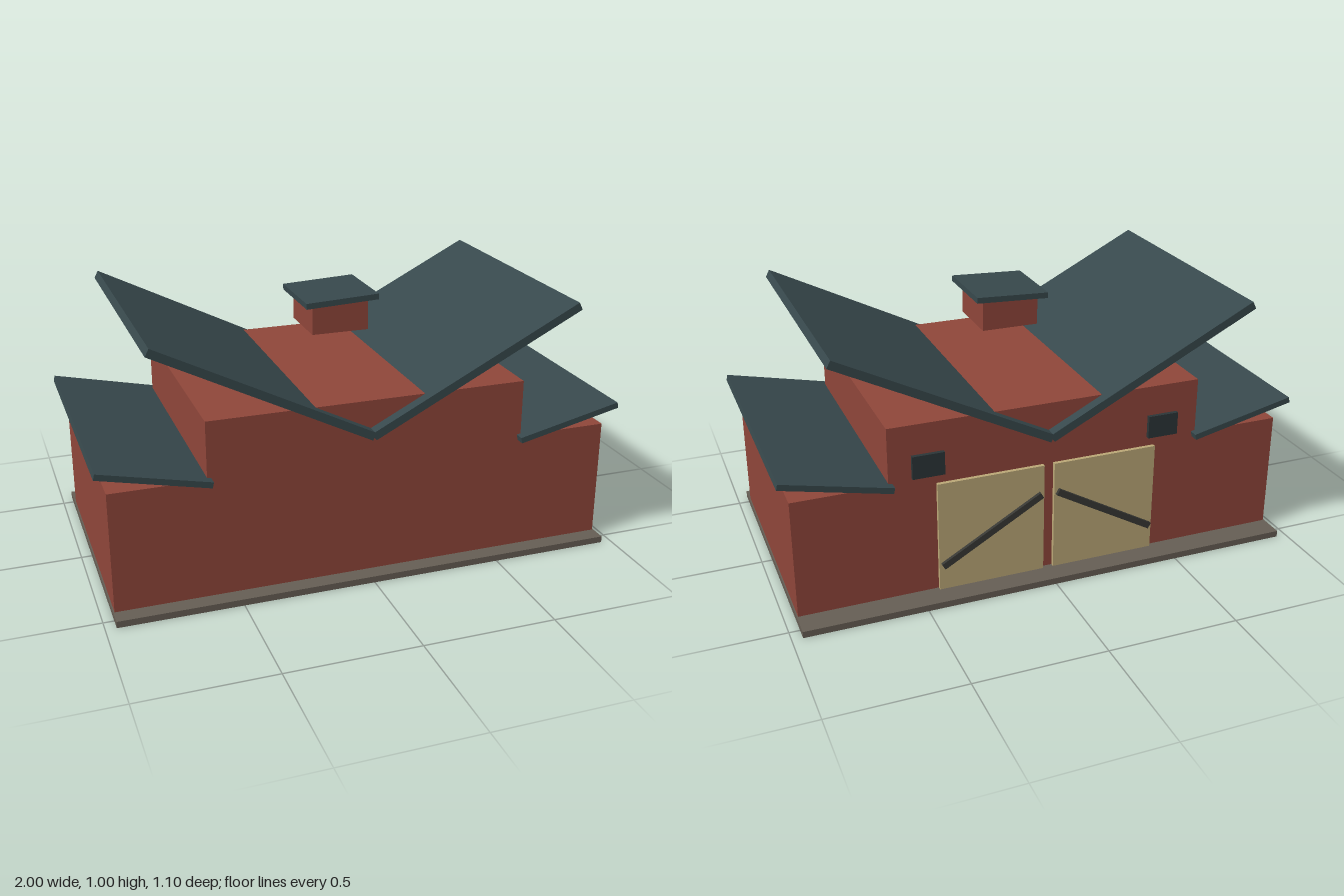
import * as THREE from 'three';

export function createModel() {
  const model = new THREE.Group();
  model.name = 'barn';

  const mat = (color) => new THREE.MeshStandardMaterial({ color });
  const wall = mat(0x8f463a);
  const roof = mat(0x37484c);
  const stone = mat(0x665e54);
  const wood = mat(0xbba877);
  const iron = mat(0x383834);
  const glass = mat(0x2c3537);

  function box(name, size, position, material, tilt = 0) {
    const mesh = new THREE.Mesh(new THREE.BoxGeometry(...size), material);
    mesh.name = name;
    mesh.position.set(...position);
    mesh.rotation.z = tilt;
    model.add(mesh);
    return mesh;
  }

  // A flat roof slab between two points of its centre line, seen from the front
  function slab(name, x0, y0, x1, y1, thickness, depth, z) {
    const length = Math.hypot(x1 - x0, y1 - y0);
    box(name, [length, thickness, depth], [(x0 + x1) / 2, (y0 + y1) / 2, z], roof,
      Math.atan2(y1 - y0, x1 - x0));
  }

  // Foundation
  box('foundation', [1.92, 0.025, 1.1], [0, 0.0125, 0], stone);

  // Stepped walls: tall centre with a low wing on each side
  const profile = new THREE.Shape([
    [-0.955, 0.025], [0.955, 0.025], [0.955, 0.482], [0.605, 0.482],
    [0.605, 0.70], [-0.605, 0.70], [-0.605, 0.482], [-0.955, 0.482],
  ].map(([x, y]) => new THREE.Vector2(x, y)));
  const walls = new THREE.Mesh(
    new THREE.ExtrudeGeometry(profile, { depth: 0.937, bevelEnabled: false }), wall);
  walls.name = 'walls';
  walls.position.z = -0.452;
  model.add(walls);

  for (const s of [1, -1]) {
    const side = s > 0 ? 'left' : 'right';

    // Roof panels rising outwards
    slab(side + 'MainRoof', 0, 0.577, s * 0.797, 0.981, 0.031, 1.02, 0.0175);
    slab(side + 'WingRoof', s * 0.592, 0.476, s * 0.996, 0.567, 0.0225, 1.008, 0.0175);

    // Barn door with diagonal brace on the back wall
    box(side + 'Door', [0.41, 0.435, 0.016], [s * 0.225, 0.2425, -0.459], wood);
    box(side + 'DoorBrace', [0.445, 0.025, 0.014], [s * 0.225, 0.235, -0.473], iron, -s * 0.52);

    // Small window above each door's outer corner
    box(side + 'Window', [0.12, 0.088, 0.016], [s * 0.46, 0.54, -0.459], glass);
  }

  // Raised cupola with a slightly tilted cap
  box('cupola', [0.22, 0.12, 0.23], [0, 0.915, 0.045], wall);
  box('cupolaCap', [0.283, 0.022, 0.288], [0, 0.981, 0.045], roof, 0.045);

  return model;
}
